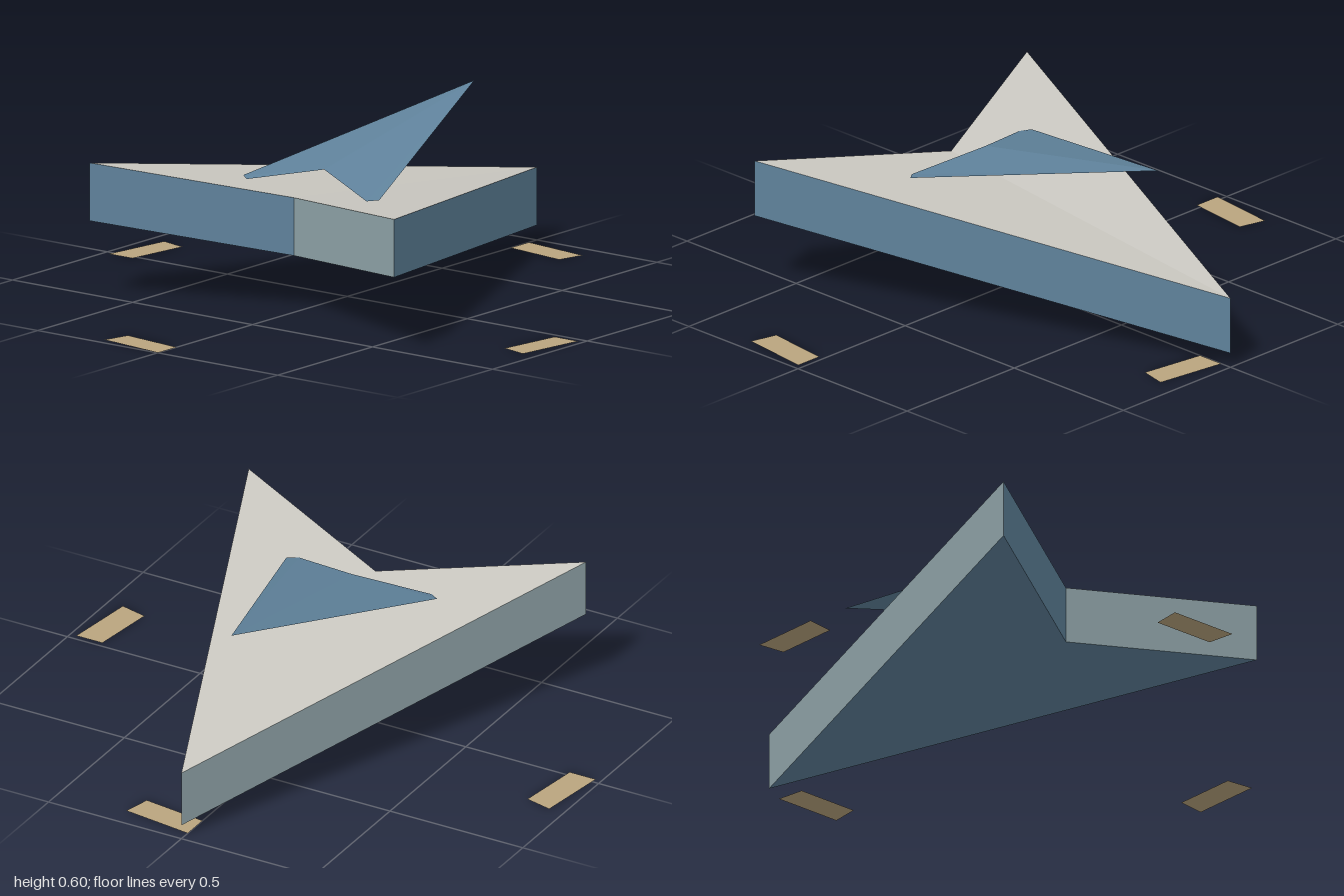
import * as THREE from 'three';

// Flat-shaded surface from polygons; each polygon is a fan of corners, counter-clockwise from outside
function facets(name, polygons, material) {
  const pos = [];
  for (const p of polygons) {
    for (let i = 1; i < p.length - 1; i++) pos.push(...p[0], ...p[i], ...p[i + 1]);
  }
  const geometry = new THREE.BufferGeometry();
  geometry.setAttribute('position', new THREE.Float32BufferAttribute(pos, 3));
  geometry.computeVertexNormals();
  const mesh = new THREE.Mesh(geometry, material);
  mesh.name = name;
  return mesh;
}

function paint(name, color) {
  const material = new THREE.MeshStandardMaterial({ color, side: THREE.DoubleSide });
  material.name = name;
  return material;
}

export function createModel() {
  const model = new THREE.Group();
  model.name = 'arrowPointer';

  const blue = paint('slate blue', 0x5f829b);
  const teal = paint('grey teal', 0x8fa3a8);
  const grey = paint('warm grey', 0xcac8c1);
  const tan = paint('tan', 0xbaa47e);

  // Body: folded arrowhead with upright walls
  const height = 0.195;
  const nose = [0, 0.05, -1];
  const notch = [0, 0.19, 0.28];
  const wingL = [0.635, 0.265, 0.557];
  const wingR = [-0.635, 0.265, 0.557];
  const up = ([x, y, z]) => [x, y + height, z];
  const wall = (a, b) => [a, b, up(b), up(a)];

  const body = new THREE.Group();
  body.name = 'body';
  body.add(
    facets('deck', [
      [up(nose), up(notch), up(wingL)],
      [up(nose), up(wingR), up(notch)],
    ], grey),
    facets('underside', [
      [nose, wingL, notch],
      [nose, notch, wingR],
    ], blue),
    facets('blueWalls', [wall(wingL, nose), wall(wingR, notch)], blue),
    facets('tealWalls', [wall(notch, wingL), wall(nose, wingR)], teal),
  );
  model.add(body);

  // Raised fin: thin folded arrowhead, tilted up toward the back
  const finHalf = (s) => {
    const half = [
      [0, 0.6, -0.67],
      [0, 0.45, 0.122],
      [s * 0.25, 0.398, 0.215],
      [s * 0.283, 0.402, 0.19],
    ];
    return s > 0 ? half : half.reverse();
  };
  model.add(facets('fin', [finHalf(1), finHalf(-1)], blue));

  // Ring of four flat ground markers
  const markers = new THREE.Group();
  markers.name = 'groundMarkers';
  markers.position.z = 0.02;
  for (let i = 0; i < 4; i++) {
    const marker = facets('groundMarker', [[
      [-0.227, 0, 0.85],
      [-0.25, 0, 0.945],
      [0, 0, 0.978],
      [0, 0, 0.88],
    ]], tan);
    marker.rotation.y = i * Math.PI / 2;
    markers.add(marker);
  }
  model.add(markers);

  return model;
}
